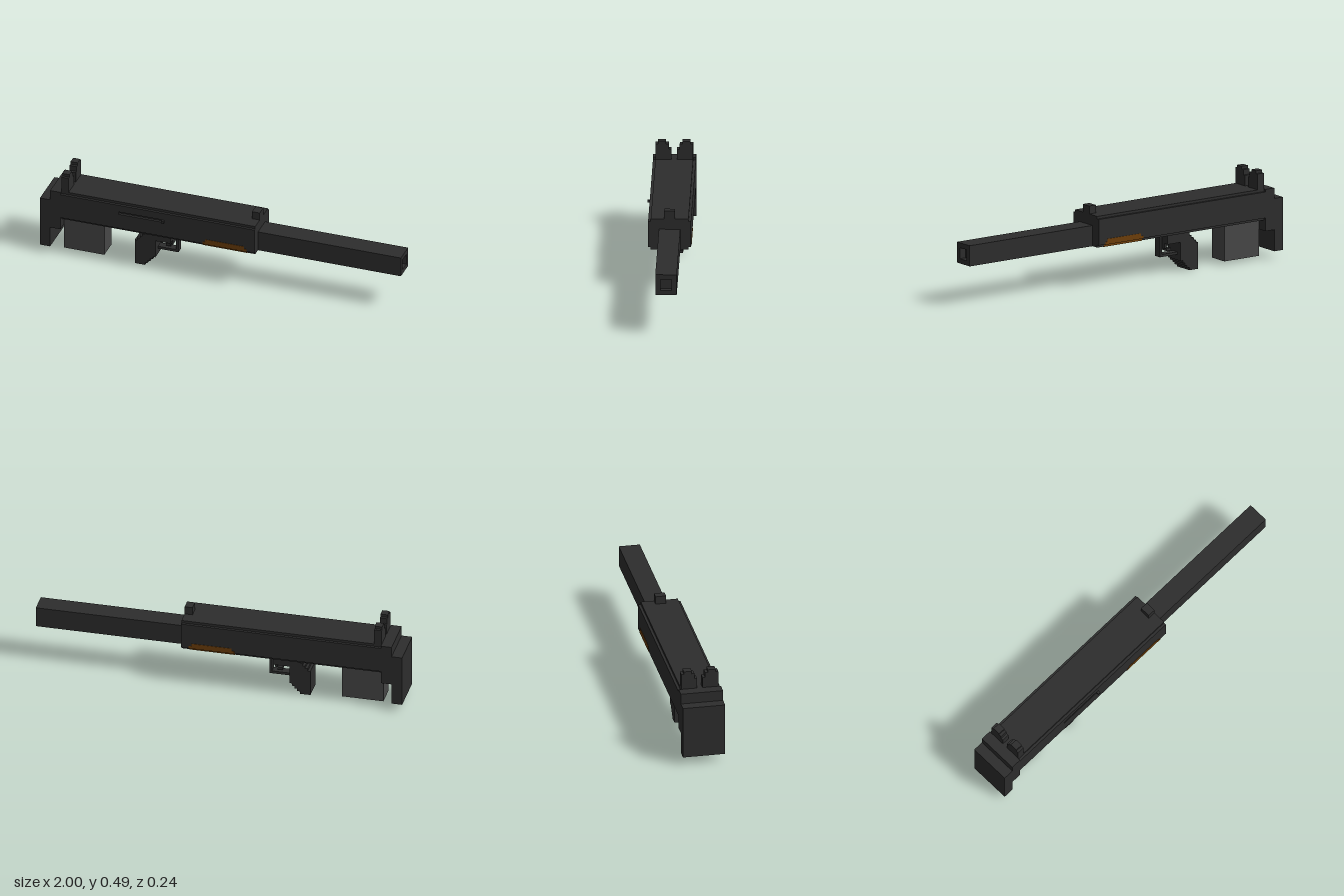
import * as THREE from 'three';

export function createModel() {
  const model = new THREE.Group();
  const mat = (name, color) => {
    const m = new THREE.MeshStandardMaterial({ color });
    m.name = name;
    return m;
  };
  const dark = mat('gunmetal', 0x2d2d2d);
  const grey = mat('magazine grey', 0x474747);
  const orange = mat('handguard brown', 0x6e3f0a);
  const C = -0.0065; // middle plane of the body
  const V = 0.0144; // size of one step

  const add = (name, geo, material = dark) => {
    const mesh = new THREE.Mesh(geo, material);
    mesh.name = name;
    model.add(mesh);
    return mesh;
  };
  const box = (name, x0, x1, y0, y1, z0, z1, material) => {
    const mesh = add(name, new THREE.BoxGeometry(x1 - x0, y1 - y0, z1 - z0), material);
    mesh.position.set((x0 + x1) / 2, (y0 + y1) / 2, (z0 + z1) / 2);
    return mesh;
  };
  const shapeOf = (pts) => new THREE.Shape(pts.map(([x, y]) => new THREE.Vector2(x, y)));
  const rect = (x0, x1, y0, y1) => shapeOf([[x0, y0], [x1, y0], [x1, y1], [x0, y1]]);
  // Side profile extruded from z0 to z1
  const slab = (name, shape, z0, z1, material) => {
    const geo = new THREE.ExtrudeGeometry(shape, { depth: z1 - z0, bevelEnabled: false });
    geo.translate(0, 0, z0);
    return add(name, geo, material);
  };

  // Receiver core with a side panel on each side, leaving stepped corners
  box('receiver', -0.885, 0.2, 0.217, 0.386, -0.106, 0.093);
  box('rightPanel', -0.885, 0.2, 0.231, 0.372, -0.12, -0.106);
  const panel = rect(-0.885, 0.2, 0.231, 0.372);
  panel.holes.push(rect(-0.56, -0.303, 0.317, 0.331));
  slab('slottedPanel', panel, 0.093, 0.107);
  box('cockingHandle', -0.317, -0.303, 0.317, 0.331, 0.093, 0.122);

  // Rear block and butt plate
  box('rearBlock', -0.943, -0.885, 0.16, 0.386, -0.12, 0.107);
  box('buttPlate', -1, -0.943, 0.043, 0.329, -0.12, 0.107);

  // Square barrel with a recessed bore
  const b = { y0: 0.217, y1: 0.329, z0: -0.063, z1: 0.05 };
  box('barrel', 0.2, 0.965, b.y0, b.y1, b.z0, b.z1);
  const muzzle = rect(b.z0, b.z1, b.y0, b.y1);
  muzzle.holes.push(rect(-0.036, 0.023, 0.243, 0.302));
  const muzzleGeo = new THREE.ExtrudeGeometry(muzzle, { depth: 0.035, bevelEnabled: false });
  muzzleGeo.scale(-1, 1, 1);
  muzzleGeo.index || muzzleGeo.scale(-1, 1, 1);
  muzzleGeo.translate(-C, 0, 0);
  muzzleGeo.rotateY(Math.PI / 2);
  muzzleGeo.translate(0.965, 0, C);
  add('muzzle', muzzleGeo);

  // Sights: mirrored stepped posts behind, a single block ahead
  for (const s of [-1, 1]) {
    const part = (name, a, c, y0, y1) => {
      const z = [C + s * a, C + s * c].sort((p, q) => p - q);
      box(name, -0.885, -0.845, y0, y1, z[0], z[1]);
    };
    part('rearSightPost', 0.0285, 0.0995, 0.386, 0.472);
    part('rearSightTip', 0.0435, 0.0855, 0.472, 0.487);
    part('rearSightStep', 0.0145, 0.0285, 0.386, 0.443);
  }
  box('frontSight', 0.157, 0.2, 0.386, 0.429, -0.035, 0.022);

  // Magazine
  box('magazine', -0.885, -0.66, 0.016, 0.217, -0.063, 0.05, grey);

  // Raked pistol grip, built from stacked rows
  const rows = 15;
  for (let i = 0; i < rows; i++) {
    const back = -0.489 + V * Math.ceil(Math.max(0, i - 9) * 0.8);
    const front = i >= 11 ? -0.29 : -0.432 + V * Math.min(4, i);
    box('grip', back, front, i * V, Math.min(0.217, (i + 1) * V + (i === 14 ? 0.01 : 0)), -0.063, 0.05);
  }

  // Trigger and guard
  const gz = [-0.035, 0.008];
  box('triggerGuardBottom', -0.376, -0.26, 0.088, 0.102, ...gz);
  box('triggerGuardFront', -0.274, -0.26, 0.102, 0.217, ...gz);
  box('triggerUpper', -0.317, -0.29, 0.144, 0.16, ...gz);
  box('triggerMiddle', -0.303, -0.29, 0.13, 0.144, ...gz);
  box('triggerLower', -0.331, -0.303, 0.116, 0.13, ...gz);

  // Coloured handguard: thin side plates with stepped tops, ledges and underside
  const plate = () => shapeOf([
    [-0.09, 0.231], [0.157, 0.231], [0.157, 0.245], [0.143, 0.245],
    [0.143, 0.26], [-0.075, 0.26], [-0.075, 0.245], [-0.09, 0.245],
  ]);
  slab('handguardLeft', plate(), 0.105, 0.109, orange);
  slab('handguardRight', plate(), -0.122, -0.118, orange);
  box('handguardBottom', -0.09, 0.157, 0.215, 0.219, -0.106, 0.093, orange);
  for (const z of [0.1, -0.113]) {
    box('handguardLedge', -0.09, 0.157, 0.229, 0.232, z - 0.007, z + 0.007, orange);
  }
  for (const z of [0.0935, -0.1065]) {
    box('handguardLip', -0.09, 0.157, 0.217, 0.231, z - 0.002, z + 0.002, orange);
  }
  return model;
}
